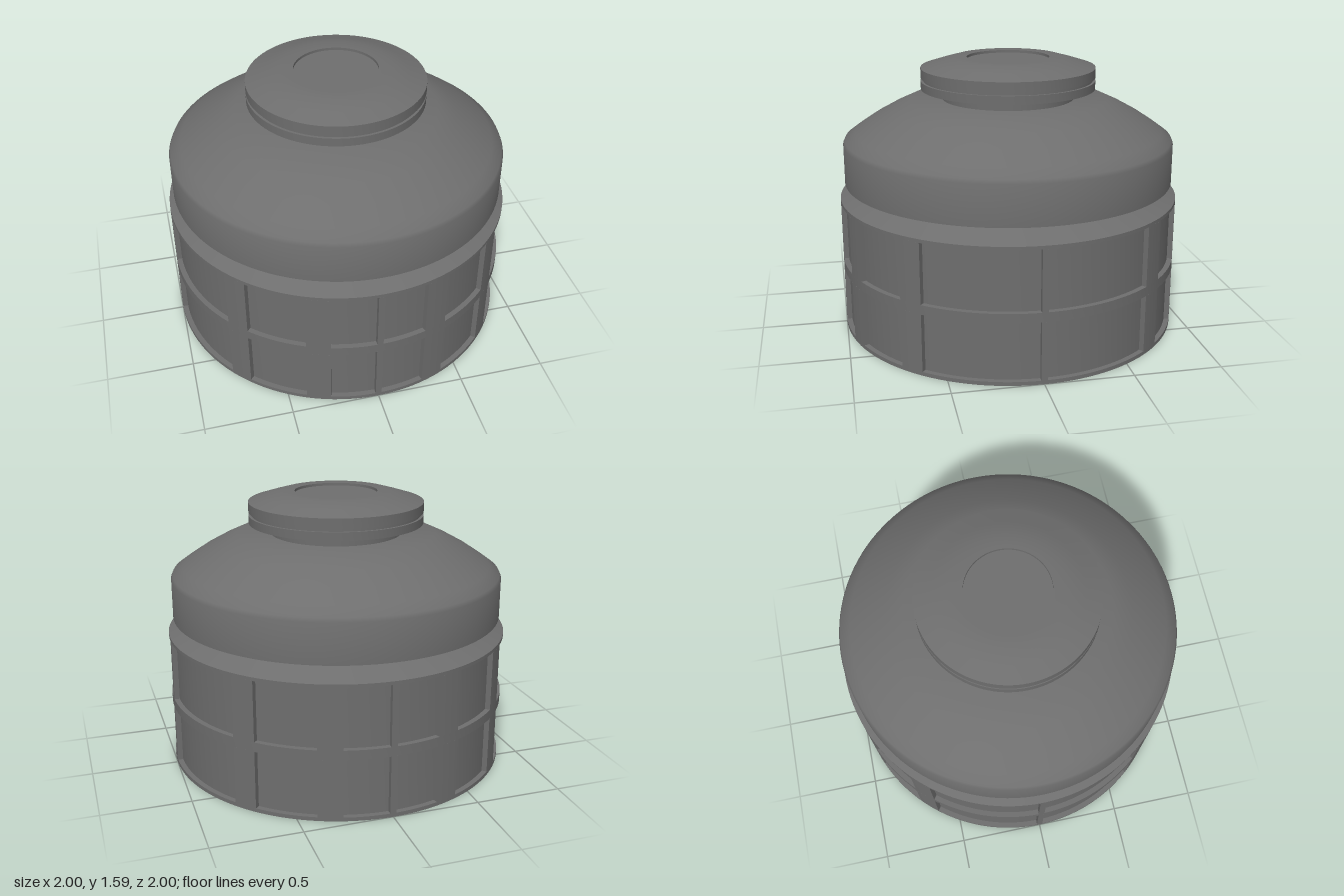
import * as THREE from 'three';
import { toCreasedNormals } from 'three/addons/utils/BufferGeometryUtils.js';

const OUTER = 1, INNER = 0.97, SEGMENTS = 120;
const grey = new THREE.MeshStandardMaterial({ color: 0x6e6e6e });
grey.name = 'dark grey plastic';

function addMesh(parent, name, geometry) {
  const mesh = new THREE.Mesh(toCreasedNormals(geometry, 0.61), grey);
  mesh.name = name;
  parent.add(mesh);
}

// Turned part from [radius, height] pairs, listed bottom to top
function turned(parent, name, profile) {
  const points = profile.map(([r, y]) => new THREE.Vector2(r, y));
  addMesh(parent, name, new THREE.LatheGeometry(points, SEGMENTS));
}

// Curved upright rib, angles in degrees measured from +z
function ribGeometry(center, halfWidth, y0, y1) {
  const steps = 6, points = [];
  const add = (r, i) => {
    const a = THREE.MathUtils.degToRad(center - halfWidth + (2 * halfWidth * i) / steps);
    points.push(new THREE.Vector2(r * Math.sin(a), -r * Math.cos(a)));
  };
  for (let i = 0; i <= steps; i++) add(OUTER, i);
  for (let i = steps; i >= 0; i--) add(INNER - 0.02, i);
  const geometry = new THREE.ExtrudeGeometry(new THREE.Shape(points), {
    depth: y1 - y0, bevelEnabled: false,
  });
  return geometry.rotateX(-Math.PI / 2).translate(0, y0, 0);
}

export function createModel() {
  const model = new THREE.Group();
  model.name = 'jar';

  // Base with three raised hoops, a sloped shoulder and a short neck
  turned(model, 'base', [
    [0, 0], [OUTER, 0], [OUTER, 0.022], [INNER, 0.022],
    [INNER, 0.36], [OUTER, 0.36], [OUTER, 0.415], [INNER, 0.415],
    [INNER, 0.765], [OUTER, 0.765], [OUTER, 0.785],
    [0.87, 0.84], [0.87, 0.88],
  ]);

  // Upright ribs between the hoops, mirrored in all four quarters
  const ribs = new THREE.Group();
  ribs.name = 'ribs';
  model.add(ribs);
  const layout = [[0, 1], [180, 1], [90, 1], [-90, 1]];
  for (const [angle, half] of [[19.65, 3.95], [47.45, 3.85]]) {
    for (const a of [angle, -angle, 180 - angle, 180 + angle]) layout.push([a, half]);
  }
  for (const [y0, y1] of [[0.022, 0.36], [0.415, 0.765]]) {
    for (const [angle, half] of layout) addMesh(ribs, 'rib', ribGeometry(angle, half, y0, y1));
  }

  // Domed cap
  turned(model, 'cap', [
    [0, 0.875], [0.97, 0.875], [0.97, 1.105], [0.96, 1.127], [0.9, 1.171],
    [0.8, 1.238], [0.69, 1.299], [0.58, 1.35], [0, 1.35],
  ]);

  // Stem and grooved knob with a shallow recess on top
  turned(model, 'stem', [[0.385, 1.35], [0.385, 1.41]]);
  turned(model, 'knob', [
    [0, 1.41], [0.51, 1.41], [0.51, 1.458], [0.495, 1.458], [0.495, 1.476],
    [0.51, 1.476], [0.51, 1.533], [0.415, 1.563], [0.32, 1.59],
    [0.24, 1.59], [0.24, 1.575], [0, 1.575],
  ]);

  return model;
}
